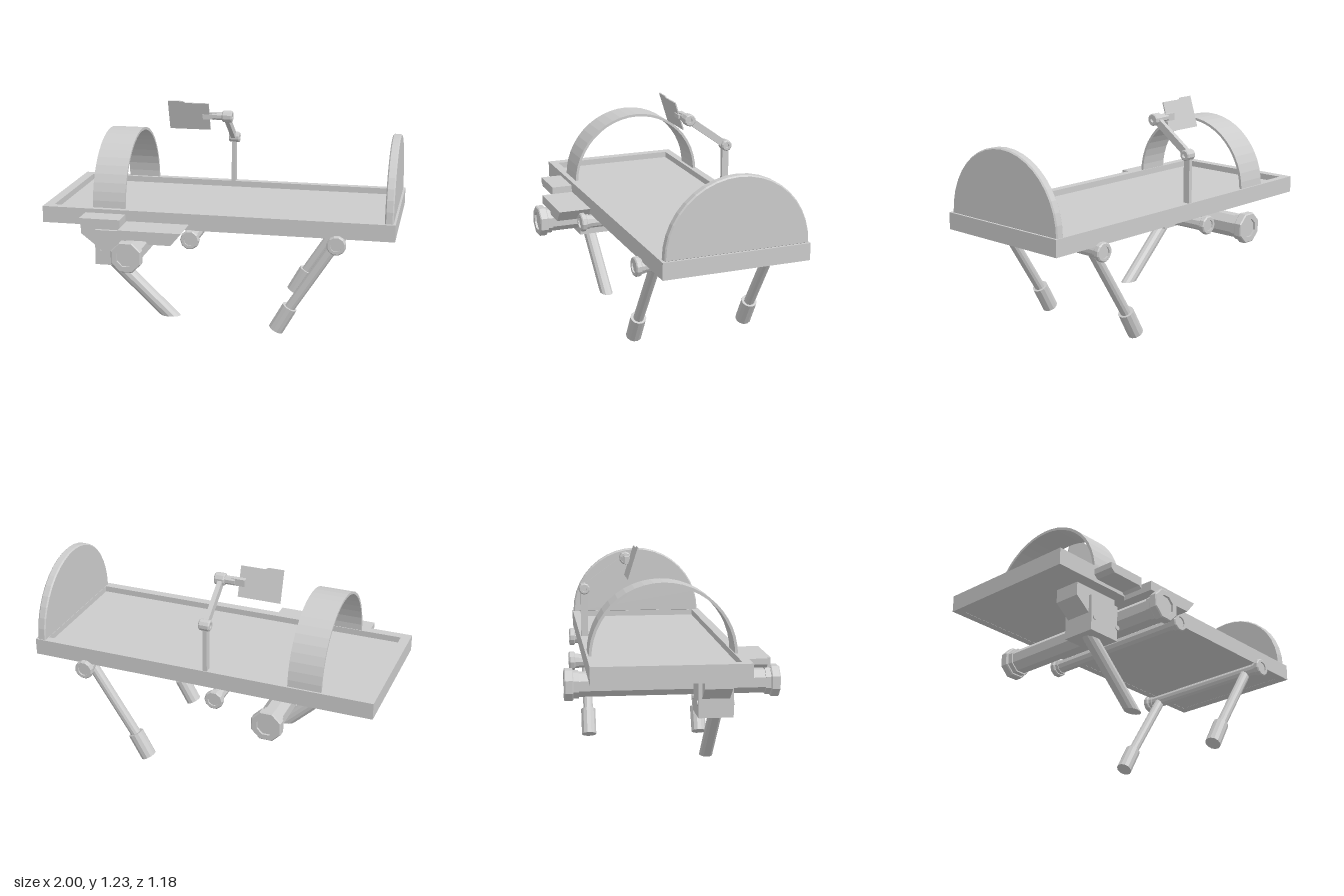
import * as THREE from 'three';

const mat = new THREE.MeshStandardMaterial({ color: 0xcccccc, flatShading: true, side: THREE.DoubleSide });

export function createModel() {
  const root = new THREE.Group();
  const add = (name, geo, x = 0, y = 0, z = 0) => {
    const m = new THREE.Mesh(geo, mat);
    m.name = name;
    m.position.set(x, y, z);
    root.add(m);
    return m;
  };
  const box = (name, x0, x1, y0, y1, z0, z1) =>
    add(name, new THREE.BoxGeometry(x1 - x0, y1 - y0, z1 - z0), (x0 + x1) / 2, (y0 + y1) / 2, (z0 + z1) / 2);
  const shape = (pts) => new THREE.Shape(pts.map((p) => new THREE.Vector2(...p)));
  const extrude = (s, depth, curveSegments = 10) =>
    new THREE.ExtrudeGeometry(s, { depth, bevelEnabled: false, curveSegments });
  const rod = (name, a, b, r, sides) => {
    const p = new THREE.Vector3(...a), q = new THREE.Vector3(...b);
    const d = q.clone().sub(p);
    const m = add(name, new THREE.CylinderGeometry(r, r, d.length(), sides, 1, false, Math.PI / sides));
    m.position.copy(p.add(q).multiplyScalar(0.5));
    m.quaternion.setFromUnitVectors(new THREE.Vector3(0, 1, 0), d.normalize());
    return m;
  };
  // Round cap with chamfered rim and a recessed centre on both faces, axis along y
  const capGeo = (r, w, inner, sides) => {
    const h = w / 2, c = Math.min(0.006, w / 5), d = h - w * 0.25;
    const pts = [[0, -d], [inner, -d], [inner, -h], [r - c, -h], [r, -h + c],
      [r, h - c], [r - c, h], [inner, h], [inner, d], [0, d]];
    return new THREE.LatheGeometry(pts.map((p) => new THREE.Vector2(...p)), sides, Math.PI / sides);
  };

  // Tray: raised rim around a shallow floor
  const rim = shape([[-1, -0.35], [1, -0.35], [1, 0.48], [-1, 0.48]]);
  rim.holes.push(shape([[-0.945, -0.3], [-0.945, 0.435], [0.94, 0.435], [0.94, -0.3]]));
  add('trayRim', extrude(rim, 0.095), 0, 0.605, 0).rotation.x = -Math.PI / 2;
  box('trayFloor', -0.97, 0.97, 0.606, 0.665, -0.46, 0.33);

  // Half-round end board with slightly softened edges
  const board = new THREE.Shape();
  board.absarc(0, 0, 0.398, 0, Math.PI, false);
  const boardGeo = new THREE.ExtrudeGeometry(board,
    { depth: 0.034, curveSegments: 10, bevelSize: 0.007, bevelThickness: 0.007, bevelSegments: 1 });
  add('endBoard', boardGeo, 0.947, 0.702, -0.07).rotation.y = Math.PI / 2;

  // Thin arch spanning the tray
  const arch = new THREE.Shape();
  arch.moveTo(0.395, -0.02);
  arch.absarc(0, 0, 0.395, 0, Math.PI, false);
  arch.lineTo(-0.395, -0.02);
  arch.lineTo(-0.38, -0.02);
  arch.absarc(0, 0, 0.38, Math.PI, 0, true);
  arch.lineTo(0.38, -0.02);
  add('arch', extrude(arch, 0.19, 12), -0.71, 0.688, -0.075).rotation.y = Math.PI / 2;

  // Cross axles with end caps: x, y, bar radius, cap radius, cap width, z ends, sides
  const axles = [
    [-0.445, 0.5, 0.07, 0.092, 0.05, -0.592, 0.592, 8],
    [-0.125, 0.57, 0.038, 0.054, 0.034, -0.55, 0.424, 10],
    [0.685, 0.575, 0.038, 0.054, 0.034, -0.516, 0.39, 12],
  ];
  for (const [x, y, r, R, w, z0, z1, n] of axles) {
    rod('axleBar', [x, y, z0 + w], [x, y, z1 - w], r, n);
    for (const z of [z0 + w / 2, z1 - w / 2]) {
      add('axleCap', capGeo(R, w, R * 0.6, n), x, y, z).rotation.x = Math.PI / 2;
    }
    // Slim collar behind each cap
    for (const z of [z0 + w * 1.3, z1 - w * 1.3]) rod('axleCollar', [x, y, z - w * 0.3], [x, y, z + w * 0.3], r * 1.12, n);
  }

  // Slanted legs with thicker feet
  for (const z of [0.265, -0.415]) {
    rod('leg', [0.685, 0.575, z], [0.415, 0.155, z], 0.03, 12);
    rod('foot', [0.418, 0.163, z], [0.34, 0.024, z], 0.045, 12);
  }

  // Side steps
  add('upperStep', extrude(shape([[-0.745, 0.677], [-0.51, 0.677], [-0.51, 0.61],
    [-0.525, 0.625], [-0.72, 0.625], [-0.745, 0.645]]), 0.13), 0, 0, 0.342);
  add('lowerStep', extrude(shape([[-0.505, 0.638], [-0.145, 0.638], [-0.205, 0.567],
    [-0.33, 0.567], [-0.345, 0.585], [-0.505, 0.585]]), 0.195), 0, 0, 0.342);

  // Bracket under the tray with bolts
  add('bracketPlate', extrude(shape([[-0.8, 0.61], [-0.8, 0.53], [-0.71, 0.46],
    [-0.52, 0.46], [-0.51, 0.61]]), 0.15), 0, 0, 0.13);
  box('bracketBox', -0.71, -0.51, 0.355, 0.56, 0.11, 0.3);
  for (const x of [-0.685, -0.512]) rod('bracketBolt', [x, 0.432, 0.105], [x, 0.432, 0.306], 0.014, 8);

  // Slanted stand: a cylinder sheared so both ends stay level
  const stand = new THREE.CylinderGeometry(0.06, 0.06, 0.33, 12);
  stand.scale(1, 1, 0.62);
  const sp = stand.attributes.position;
  for (let i = 0; i < sp.count; i++) sp.setX(i, sp.getX(i) - sp.getY(i) * 1.05);
  stand.computeVertexNormals();
  add('stand', stand, -0.463, 0.21, 0.213);

  // Jointed arm on the back edge
  box('armPost', -0.058, -0.034, 0.69, 0.975, -0.475, -0.435);
  add('armElbow', capGeo(0.032, 0.064, 0.014, 10), -0.043, 0.973, -0.455).rotation.z = Math.PI / 2;
  const arm = add('arm', new THREE.BoxGeometry(0.026, 0.29, 0.042), -0.047, 1.06, -0.337);
  arm.rotation.x = Math.atan2(0.235, 0.17);
  add('armWrist', capGeo(0.035, 0.06, 0.014, 10), -0.04, 1.145, -0.22).rotation.z = Math.PI / 2;
  rod('wristBar', [-0.06, 1.145, -0.22], [-0.13, 1.145, -0.22], 0.024, 8);
  box('panelClip', -0.185, -0.105, 1.125, 1.165, -0.235, -0.205);
  box('panelClipJaw', -0.185, -0.12, 1.135, 1.157, -0.212, -0.19);

  // Thin tilted panel with a raised corner
  const panel = add('panel', extrude(shape([[-0.39, 0.093], [-0.3, 0.093], [-0.285, 0.083],
    [-0.145, 0.083], [-0.145, -0.09], [-0.39, -0.09]]), 0.007), 0, 1.147, -0.208);
  panel.rotation.x = 0.305;
  return root;
}
